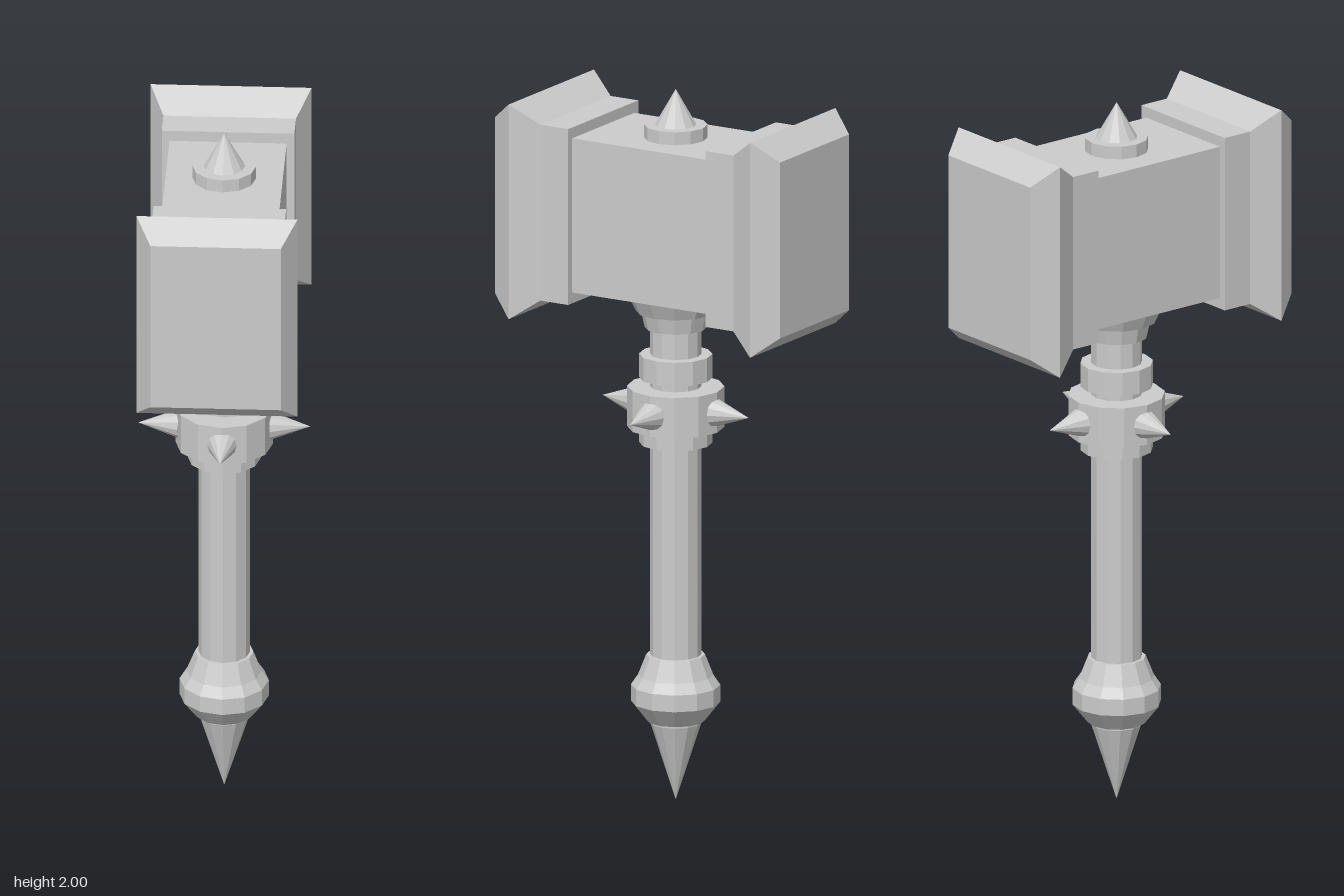
import * as THREE from 'three';

const SIDES = 12;
const AXIS_Z = -0.012; // the handle sits slightly behind the head's middle
const HEAD_Y = 1.648;

export function createModel() {
  const model = new THREE.Group();
  model.name = 'warHammer';
  const material = new THREE.MeshStandardMaterial({ color: 0xcccccc, flatShading: true });

  const add = (name, geometry, parent = model) => {
    const mesh = new THREE.Mesh(geometry, material);
    mesh.name = name;
    parent.add(mesh);
    return mesh;
  };

  // Turned part from [radius, height] pairs, bottom to top, closed at both ends
  const turned = (name, profile, parent) => {
    const points = [[0, profile[0][1]], ...profile, [0, profile[profile.length - 1][1]]];
    return add(name, new THREE.LatheGeometry(points.map(([r, y]) => new THREE.Vector2(r, y)), SIDES), parent);
  };

  // Handle, from the pommel point up to the flare under the head
  const handle = new THREE.Group();
  handle.name = 'handle';
  handle.position.z = AXIS_Z;
  model.add(handle);
  turned('pommelSpike', [[0.001, 0], [0.07, 0.215], [0.07, 0.235]], handle);
  turned('pommel', [[0.08, 0.222], [0.088, 0.232], [0.122, 0.275], [0.122, 0.322], [0.103, 0.35], [0.08, 0.408]], handle);
  turned('shaft', [[0.07, 0.3], [0.07, 1.4]], handle);
  turned('lowerCollar', [[0.1, 1.005], [0.1, 1.06]], handle);
  turned('spikedBand', [[0.133, 1.05], [0.133, 1.164]], handle);
  turned('upperCollar', [[0.1, 1.188], [0.1, 1.255]], handle);
  turned('lowerFlare', [[0.085, 1.33], [0.096, 1.38]], handle);
  turned('upperFlare', [[0.11, 1.377], [0.137, 1.435]], handle);

  // Four spikes around the band
  for (let i = 0; i < 4; i++) {
    const arm = new THREE.Group();
    arm.name = 'bandSpikeArm';
    arm.position.y = 1.106;
    arm.rotation.y = (i * Math.PI) / 2;
    handle.add(arm);
    const spike = add('bandSpike', new THREE.ConeGeometry(0.04, 0.11, SIDES), arm);
    spike.rotation.x = Math.PI / 2;
    spike.position.z = 0.18;
  }

  // Spike on top of the head
  turned('topSpikeBase', [[0.087, 1.85], [0.087, 1.902]], handle);
  turned('topSpike', [[0.057, 1.902], [0.001, 2]], handle);

  // Head block
  const block = add('headBlock', new THREE.BoxGeometry(0.32, 0.435, 0.46));
  block.position.y = HEAD_Y;

  // Striking ends: a box whose cross-sections follow [z, half width, half height]
  const sections = [[0.221, 0.181, 0.248], [0.31, 0.181, 0.248], [0.388, 0.22, 0.303], [0.458, 0.178, 0.248]];
  const endGeometry = new THREE.BoxGeometry(2, 2, 3, 1, 1, 3);
  const p = endGeometry.attributes.position;
  for (let i = 0; i < p.count; i++) {
    const [z, w, h] = sections[Math.round(p.getZ(i) + 1.5)];
    p.setXYZ(i, p.getX(i) * w, p.getY(i) * h, z);
  }
  endGeometry.computeVertexNormals();
  [['frontStrikingEnd', 0], ['backStrikingEnd', Math.PI]].forEach(([name, turn]) => {
    const end = add(name, endGeometry);
    end.position.y = HEAD_Y;
    end.rotation.y = turn;
  });

  return model;
}
